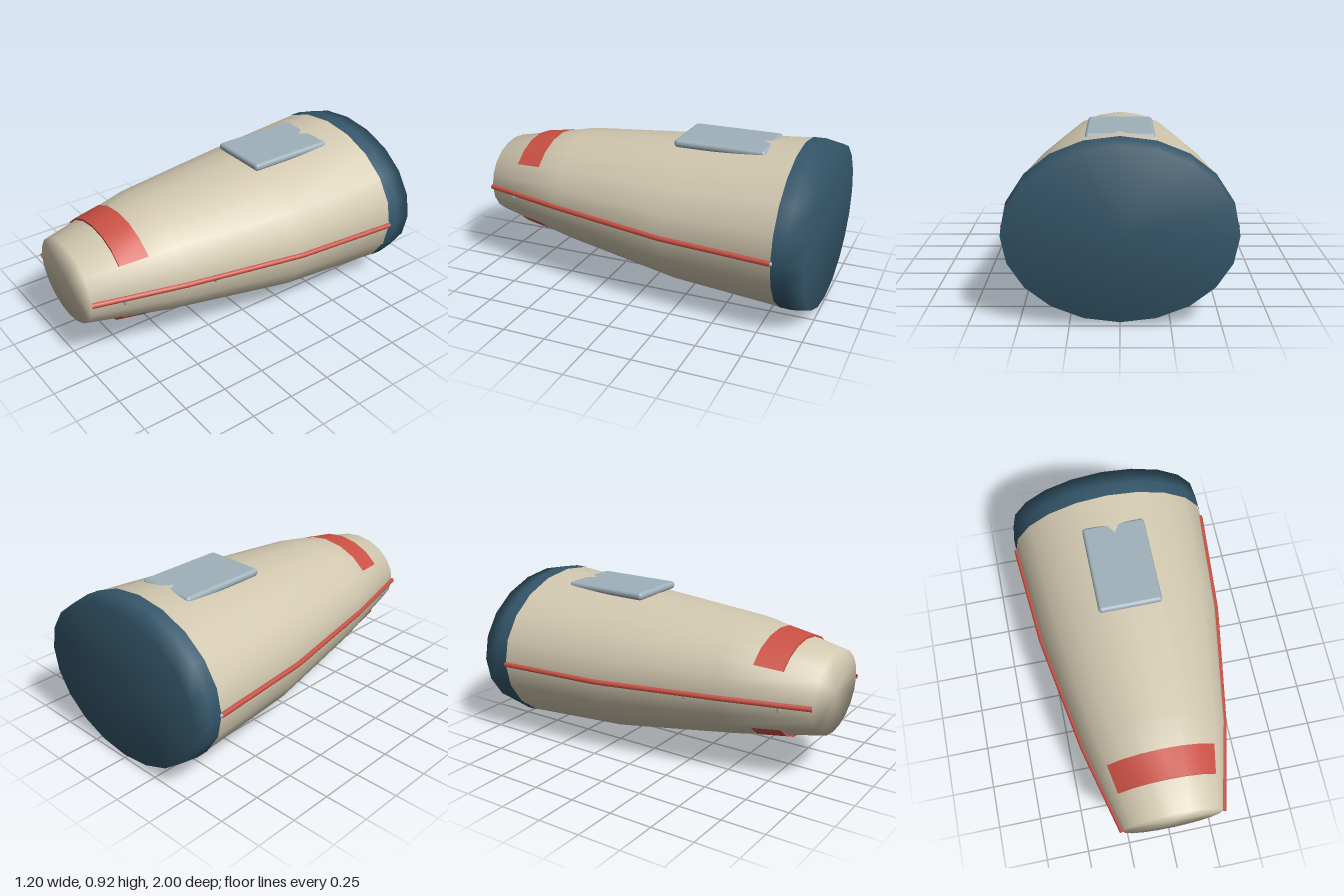
import * as THREE from 'three';
import { RoundedBoxGeometry } from 'three/addons/geometries/RoundedBoxGeometry.js';

const SIDES = 20;
const STEP = (Math.PI * 2) / SIDES;

// Loft through elliptical sections [z, centreY, radiusX, radiusY], back to front.
function loft(sections, { first = 0, count = SIDES, capBack = false, capFront = false } = {}) {
  const pos = [], index = [];
  const closed = count === SIDES;
  const row = closed ? count : count + 1;
  for (const [z, cy, rx, ry] of sections) {
    for (let j = 0; j < row; j++) {
      const a = (first + j) * STEP;
      pos.push(rx * Math.cos(a), cy + ry * Math.sin(a), z);
    }
  }
  for (let i = 0; i < sections.length - 1; i++) {
    for (let j = 0; j < count; j++) {
      const k = (j + 1) % row;
      const a = i * row + j, b = i * row + k;
      index.push(a, b, a + row, b, b + row, a + row);
    }
  }
  const cap = (i, front) => {
    const c = pos.length / 3;
    pos.push(0, sections[i][1], sections[i][0]);
    for (let j = 0; j < row; j++) {
      const a = i * row + j, b = i * row + ((j + 1) % row);
      index.push(c, front ? a : b, front ? b : a);
    }
  };
  if (capBack) cap(0, false);
  if (capFront) cap(sections.length - 1, true);
  const g = new THREE.BufferGeometry();
  g.setAttribute('position', new THREE.Float32BufferAttribute(pos, 3));
  g.setIndex(index);
  g.computeVertexNormals();
  return g;
}

export function createModel() {
  const model = new THREE.Group();
  model.name = 'capsule';
  const mat = (name, color, side = THREE.FrontSide) => {
    const m = new THREE.MeshStandardMaterial({ color, side });
    m.name = name;
    return m;
  };
  const cream = mat('cream shell', 0xd2c8b0);
  const navy = mat('navy base', 0x34566a);
  const red = mat('red trim', 0xcb5144, THREE.DoubleSide);
  const grey = mat('pale grey metal', 0x9fb1ba);

  const add = (name, geometry, material, parent = model) => {
    const mesh = new THREE.Mesh(geometry, material);
    mesh.name = name;
    parent.add(mesh);
    return mesh;
  };

  // Tapered oval shell with a flat nose
  add('shell', loft([
    [-0.84, 0.463, 0.582, 0.457],
    [-0.2, 0.46, 0.53, 0.41],
    [0.5, 0.49, 0.41, 0.33],
    [1, 0.49, 0.283, 0.23],
  ], { capFront: true }), cream);

  // Base cap at the back
  add('baseCap', loft([
    [-1, 0.463, 0.577, 0.44],
    [-0.9, 0.463, 0.588, 0.46],
    [-0.83, 0.463, 0.586, 0.458],
  ], { capBack: true }), navy);

  // Curved trim bands above and below the nose
  const bandBack = [0.66, 0.49, 0.37, 0.302];
  const bandFront = [0.82, 0.49, 0.335, 0.278];
  const bandInner = [0.82, 0.49, 0.318, 0.262];
  for (const [name, first] of [['upperBand', 2], ['lowerBand', 12]]) {
    const band = new THREE.Group();
    band.name = name;
    add('bandFace', loft([bandBack, bandFront], { first, count: 6 }), red, band);
    add('bandLip', loft([bandFront, bandInner], { first, count: 6 }), red, band);
    model.add(band);
  }

  // Roof hatch, partly sunk into the rising shell
  const hatch = add('hatch', new RoundedBoxGeometry(0.36, 0.044, 0.525, 3, 0.02), grey);
  hatch.position.set(0, 0.879, -0.4);

  // Side rails with small studs
  for (const s of [1, -1]) {
    const side = s > 0 ? 'left' : 'right';
    const path = new THREE.CurvePath();
    const pts = [
      [0.285, 0.49, 1], [0.41, 0.485, 0.5], [0.532, 0.465, -0.2], [0.584, 0.461, -0.83],
    ].map(([x, y, z]) => new THREE.Vector3(s * x, y, z));
    for (let i = 0; i < 3; i++) path.add(new THREE.LineCurve3(pts[i], pts[i + 1]));
    add(side + 'Rail', new THREE.TubeGeometry(path, 36, 0.015, 8), red);

    [[0.327, 0.83], [0.438, 0.33]].forEach(([x, z], i) => {
      const stud = add(side + 'Stud' + (i + 1), new THREE.CapsuleGeometry(0.009, 0.015, 4, 10), grey);
      stud.position.set(s * x, 0.467, z);
    });
    const end = add(side + 'RailEnd', new THREE.SphereGeometry(0.012, 10, 8), grey);
    end.position.set(s * 0.584, 0.461, -0.83);
  }
  return model;
}
